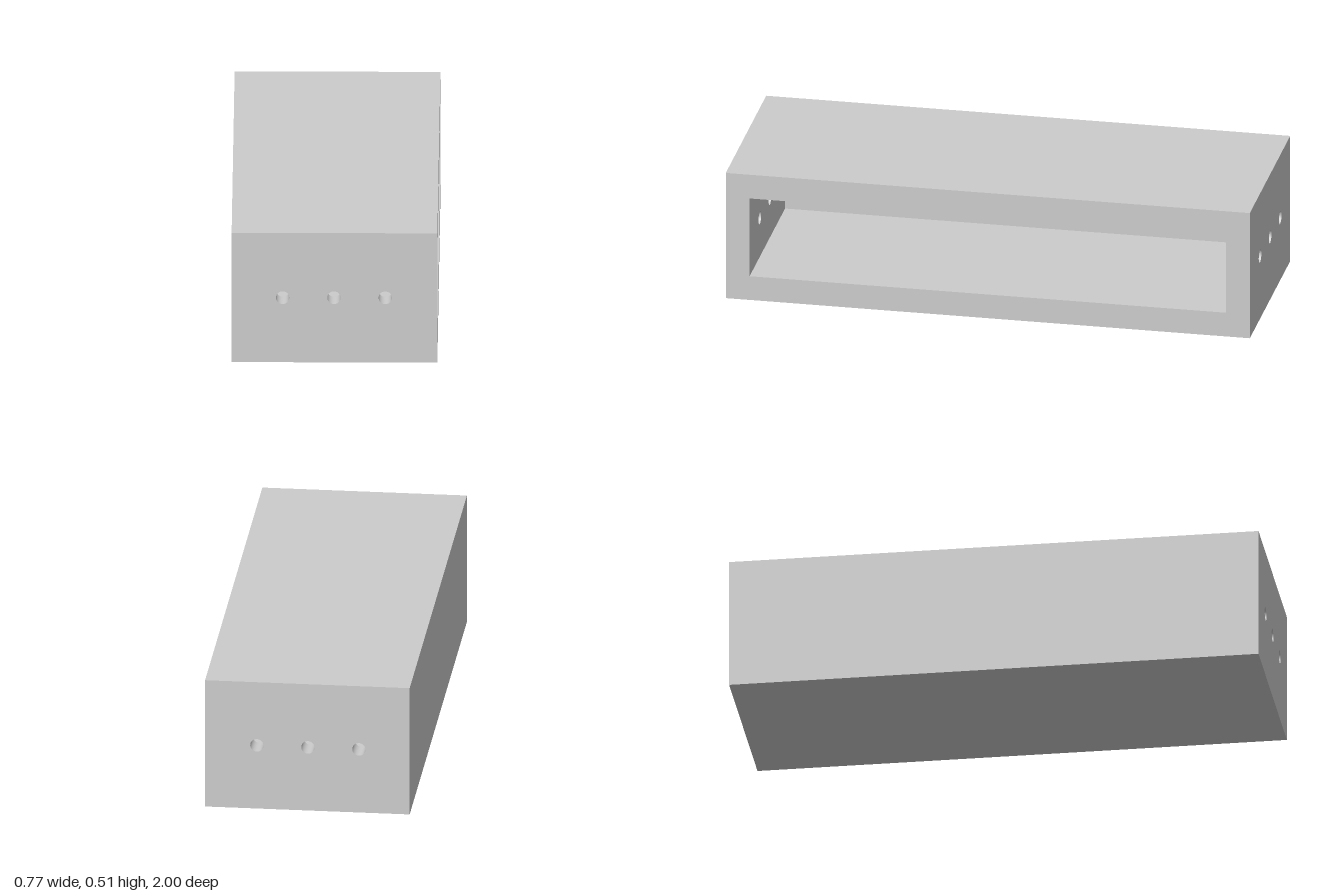
import * as THREE from 'three';

const W = 0.77, H = 0.507, L = 2;              // outer size
const WALL_X = 0.095, WALL_Y = 0.096, WALL_Z = 0.091;
const HOLE_R = 0.025, HOLES = [-0.194, -0.002, 0.19];

const IW = W - WALL_X, IH = H - 2 * WALL_Y, IL = L - 2 * WALL_Z; // cavity size
const CX = WALL_X / 2, CY = H / 2;             // cavity centre
const Q = Math.PI / 2;

const material = new THREE.MeshStandardMaterial({ color: 0xcccccc });
const boreMaterial = new THREE.MeshStandardMaterial({ color: 0xcccccc, side: THREE.DoubleSide });

// Rectangle centred on the origin
function rect(w, h, Type = THREE.Shape) {
  const s = new Type();
  s.moveTo(-w / 2, -h / 2);
  s.lineTo(w / 2, -h / 2);
  s.lineTo(w / 2, h / 2);
  s.lineTo(-w / 2, h / 2);
  s.closePath();
  return s;
}

// Flat face with optional holes, turned about x and y and moved into place
function face(name, w, h, position, rx = 0, ry = 0, holes = []) {
  const shape = rect(w, h);
  shape.holes.push(...holes);
  const mesh = new THREE.Mesh(new THREE.ShapeGeometry(shape, 32), material);
  mesh.name = name;
  mesh.rotation.set(rx, ry, 0);
  mesh.position.set(...position);
  return mesh;
}

// Round openings for an end face; cx is its centre, dir is -1 when it faces back
function roundHoles(cx, dir) {
  return HOLES.map((x) => {
    const p = new THREE.Path();
    p.absarc((x - cx) * dir, 0, HOLE_R, 0, 2 * Math.PI, true);
    return p;
  });
}

export function createModel() {
  const model = new THREE.Group();
  model.name = 'openSidedBox';

  // Outer shell, open on the left side through a rim
  const shell = new THREE.Group();
  shell.name = 'shell';
  shell.add(
    face('top', W, L, [0, H, 0], -Q),
    face('bottom', W, L, [0, 0, 0], Q),
    face('closedSide', L, H, [-W / 2, CY, 0], 0, -Q),
    face('openingRim', L, H, [W / 2, CY, 0], 0, Q, [rect(IL, IH, THREE.Path)]),
  );

  // Inside of the box
  const cavity = new THREE.Group();
  cavity.name = 'cavity';
  cavity.add(
    face('cavityFloor', IW, IL, [CX, WALL_Y, 0], -Q),
    face('cavityCeiling', IW, IL, [CX, H - WALL_Y, 0], Q),
    face('cavitySide', IL, IH, [CX - IW / 2, CY, 0], 0, Q),
  );

  // Front and back ends, each drilled with three holes
  for (const s of [1, -1]) {
    const end = s > 0 ? 'front' : 'back';
    shell.add(face(end + 'End', W, H, [0, CY, s * L / 2], 0, s > 0 ? 0 : Math.PI, roundHoles(0, s)));
    cavity.add(face(end + 'EndInside', IW, IH, [CX, CY, s * IL / 2], 0, s > 0 ? Math.PI : 0, roundHoles(CX, -s)));
    for (const x of HOLES) {
      const bore = new THREE.Mesh(
        new THREE.CylinderGeometry(HOLE_R, HOLE_R, WALL_Z, 64, 1, true), boreMaterial);
      bore.name = end + 'Bore';
      bore.rotation.x = Q;
      bore.position.set(x, CY, s * (L - WALL_Z) / 2);
      shell.add(bore);
    }
  }

  model.add(shell, cavity);
  return model;
}
